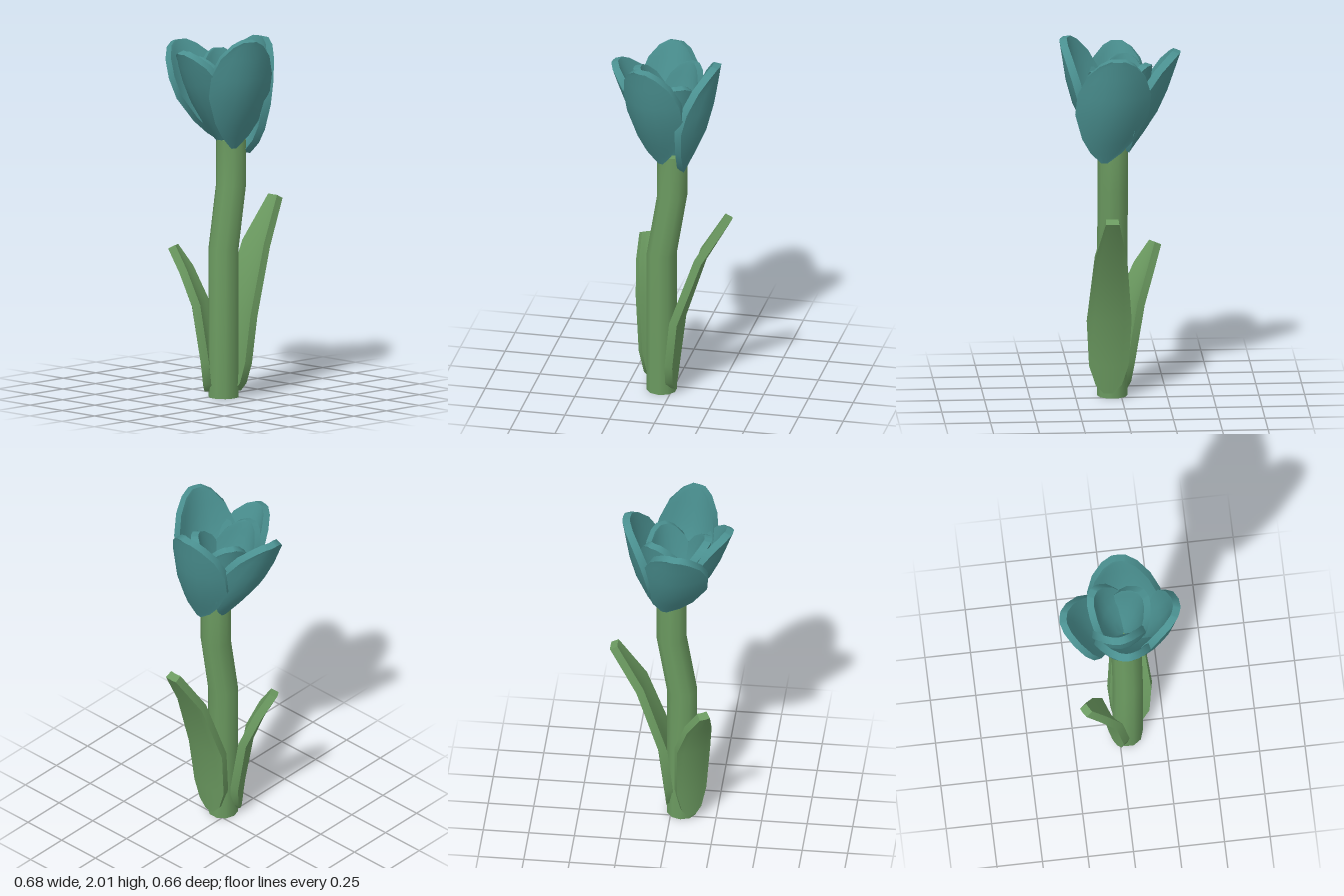
import * as THREE from 'three';
import { toCreasedNormals } from 'three/addons/utils/BufferGeometryUtils.js';

const teal = new THREE.MeshStandardMaterial({ color: 0x4a9090 });
const green = new THREE.MeshStandardMaterial({ color: 0x6b9a60 });

// Thick curled blade: outer ridge follows `points`, facing the direction `facing` [x, z].
// rows: [position along path, half width factor]
function blade({ points, facing, rows, width, curl, thickness }) {
  const path = new THREE.CatmullRomCurve3(points.map(p => new THREE.Vector3(...p)), false, 'centripetal');
  const out = new THREE.Vector3(facing[0], 0, facing[1]).normalize();
  const side = new THREE.Vector3(0, 1, 0).cross(out);
  const across = 6, ring = 2 * (across + 1);
  const positions = [], index = [];
  for (const [v, w] of rows) {
    const centre = path.getPoint(v);
    const along = path.getTangent(v);
    const inward = out.clone().addScaledVector(along, -out.dot(along)).normalize().negate();
    for (let j = 0; j < ring; j++) {
      const inner = j > across;
      const u = (inner ? ring - 1 - j : j) / across * 2 - 1;
      const p = centre.clone()
        .addScaledVector(side, u * w * width * (inner ? 0.93 : 1))
        .addScaledVector(inward, curl * (u * w) ** 2 + (inner ? thickness : 0));
      positions.push(p.x, p.y, p.z);
    }
  }
  for (let i = 0; i < rows.length - 1; i++) {
    for (let j = 0; j < ring; j++) {
      const a = i * ring + j, b = i * ring + (j + 1) % ring;
      index.push(a, b, b + ring, a, b + ring, a + ring);
    }
  }
  // end faces
  const last = (rows.length - 1) * ring;
  for (let j = 0; j < across; j++) {
    const k = ring - 1 - j;
    index.push(j, k, k - 1, j, k - 1, j + 1);
    index.push(last + j, last + j + 1, last + k - 1, last + j, last + k - 1, last + k);
  }
  const geometry = new THREE.BufferGeometry();
  geometry.setAttribute('position', new THREE.Float32BufferAttribute(positions, 3));
  geometry.setIndex(index);
  return toCreasedNormals(geometry, 0.7);
}

const petalRows = [[0, 0.08], [0.1, 0.42], [0.22, 0.7], [0.45, 0.98], [0.66, 0.98], [0.84, 0.78], [0.95, 0.48], [1, 0.2]];
const leafRows = [[0, 0.22], [0.1, 0.58], [0.3, 0.88], [0.58, 1], [0.85, 0.74], [1, 0.3]];

export function createModel() {
  const model = new THREE.Group();
  const add = (parent, name, geometry, material) => {
    const mesh = new THREE.Mesh(geometry, material);
    mesh.name = name;
    parent.add(mesh);
  };

  // Stem: a many-sided column that steps sideways between two heights
  const levels = [[1.42, 0], [1.17, 0], [0.82, -0.058], [0, -0.058]];
  const stem = new THREE.CylinderGeometry(0.083, 0.083, 3, 10, 3);
  const pos = stem.attributes.position;
  for (let i = 0; i < pos.count; i++) {
    const [y, x] = levels[Math.round(1.5 - pos.getY(i))];
    pos.setXYZ(i, pos.getX(i) + x, y, pos.getZ(i) + 0.048);
  }
  add(model, 'stem', toCreasedNormals(stem, 0.7), green);

  // Leaves
  add(model, 'largeLeaf', blade({
    points: [[0.025, 0.03, 0.072], [0.04, 0.15, 0.072], [0.065, 0.36, 0.072], [0.12, 0.65, 0.072], [0.337, 1.06, 0.072]],
    facing: [1, 0], rows: leafRows, width: 0.123, curl: 0.02, thickness: 0.045,
  }), green);
  add(model, 'smallLeaf', blade({
    points: [[-0.12, 0.03, -0.03], [-0.125, 0.14, -0.04], [-0.14, 0.45, -0.085], [-0.16, 0.6, -0.125], [-0.213, 0.81, -0.215]],
    facing: [-0.5, -0.86], rows: leafRows, width: 0.1, curl: 0.02, thickness: 0.045,
  }), green);

  // Petals: base, middle and tip of the outer ridge
  const flower = new THREE.Group();
  flower.name = 'flower';
  model.add(flower);
  const petals = [
    ['frontPetal', [-0.05, 1.38, 0.12], [-0.1, 1.68, 0.265], [-0.125, 2, 0.325], [-0.35, 0.93], 0.185, 0.09],
    ['leftPetal', [0.08, 1.34, 0.1], [0.205, 1.62, 0.065], [0.265, 1.955, 0.035], [1, 0.05], 0.205, 0.1],
    ['backPetal', [0.03, 1.39, -0.04], [-0.02, 1.63, -0.21], [-0.05, 1.925, -0.325], [0.17, -0.98], 0.185, 0.09],
    ['rightPetal', [-0.06, 1.4, 0.02], [-0.235, 1.65, 0], [-0.343, 1.92, 0], [-1, -0.15], 0.165, 0.09],
    ['innerRightPetal', [-0.04, 1.4, 0.02], [-0.17, 1.64, 0], [-0.23, 1.88, -0.02], [-1, 0], 0.15, 0.08],
    ['innerBackPetal', [0.02, 1.4, 0], [0.065, 1.64, -0.11], [0.09, 1.89, -0.15], [0.5, -0.86], 0.14, 0.07],
    ['innerFrontPetal', [0.02, 1.4, 0.07], [0.055, 1.63, 0.13], [0.07, 1.85, 0.165], [0.5, 0.86], 0.14, 0.07],
  ];
  for (const [name, base, middle, tip, facing, width, curl] of petals) {
    add(flower, name, blade({
      points: [base, middle, tip], facing, rows: petalRows, width, curl, thickness: 0.042,
    }), teal);
  }
  return model;
}
